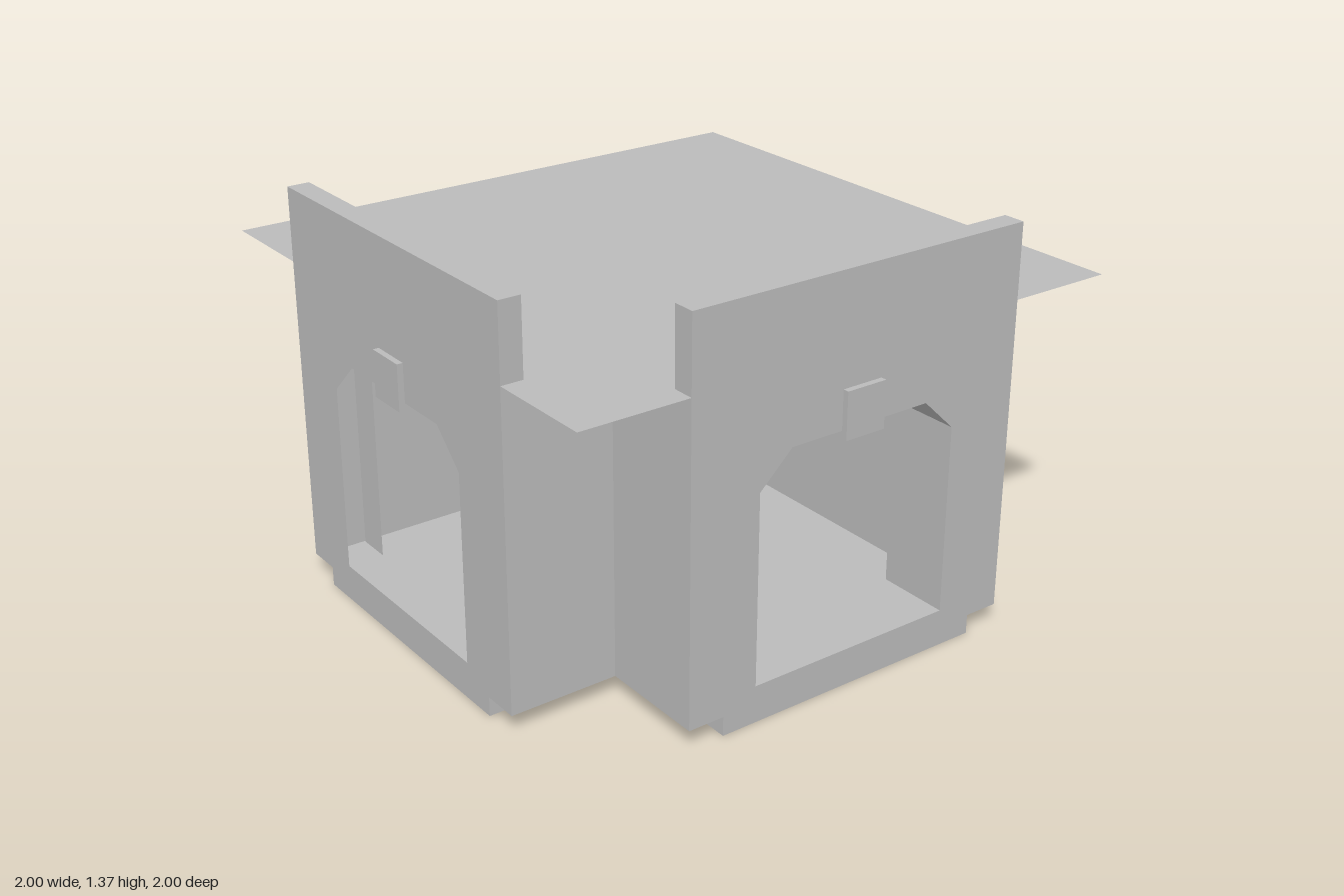
import * as THREE from 'three';

const gray = new THREE.MeshStandardMaterial({ color: 0xbbbbbb });
gray.name = 'plain gray';
const graySheet = new THREE.MeshStandardMaterial({ color: 0xbbbbbb, side: THREE.DoubleSide });
graySheet.name = 'plain gray sheet';

function add(parent, name, geometry, material = gray) {
  const mesh = new THREE.Mesh(geometry, material);
  mesh.name = name;
  parent.add(mesh);
  return mesh;
}

// Box given by its limits on each axis
function block(parent, name, [x0, x1], [y0, y1], [z0, z1]) {
  const mesh = add(parent, name, new THREE.BoxGeometry(x1 - x0, y1 - y0, z1 - z0));
  mesh.position.set((x0 + x1) / 2, (y0 + y1) / 2, (z0 + z1) / 2);
}

const points = (list, s = 1) => list.map(([x, y]) => new THREE.Vector2(x * s, y));

// Doorway outline with chamfered upper corners
const DOOR = [[-0.365, 0.125], [0.38, 0.125], [0.38, 0.76], [0.265, 0.87], [-0.25, 0.87], [-0.365, 0.76]];

// Upright panel pierced by the doorway, from z0 to z1
function doorPanel(parent, name, outline, z0, z1, s) {
  const shape = new THREE.Shape(points(outline, s));
  shape.holes.push(new THREE.Path(points(DOOR, s)));
  const geometry = new THREE.ExtrudeGeometry(shape, { depth: z1 - z0, bevelEnabled: false });
  add(parent, name, geometry).position.z = z0;
}

// Entrance wall with parapet, inner door frame and keystone; s mirrors it in x
function entranceWing(name, s) {
  const wing = new THREE.Group();
  wing.name = name;
  const span = (a, b) => (s > 0 ? [a, b] : [-b, -a]);
  doorPanel(wing, 'entranceWall', [[-0.61, 0.065], [0.625, 0.065], [0.625, 1.115], [-0.61, 1.115]], 0.855, 0.98, s);
  doorPanel(wing, 'doorFrame', [[-0.485, 0.07], [0.5, 0.07], [0.5, 0.99], [-0.485, 0.99]], 0.73, 0.855, s);
  block(wing, 'parapet', span(-0.61, 0.625), [1.115, 1.365], [0.905, 0.98]);
  block(wing, 'keystone', span(-0.065, 0.08), [0.845, 1.0], [0.98, 1.0]);
  return wing;
}

// Square plate with one corner cut out, lying flat between two heights
function cornerPlate(parent, name, far, notch, y0, y1) {
  const shape = new THREE.Shape(points([
    [-0.98, -notch], [-notch, -notch], [-notch, -0.98], [far, -0.98], [far, far], [-0.98, far],
  ]));
  const geometry = new THREE.ExtrudeGeometry(shape, { depth: y1 - y0, bevelEnabled: false });
  geometry.rotateX(-Math.PI / 2);
  add(parent, name, geometry).position.y = y0;
}

export function createModel() {
  const model = new THREE.Group();
  model.name = 'cornerBuilding';

  // Recessed plinth and floor
  cornerPlate(model, 'plinth', 0.505, 0.485, 0, 0.065);
  cornerPlate(model, 'floor', 0.625, 0.61, 0.065, 0.125);

  // Two mirrored entrances meeting at the cut corner
  model.add(entranceWing('frontEntrance', 1));
  const side = entranceWing('sideEntrance', -1);
  side.rotation.y = -Math.PI / 2;
  model.add(side);

  // Plain walls
  const wallY = [0.065, 1.115];
  block(model, 'backWall', [-0.98, 0.625], wallY, [-0.625, -0.505]);
  block(model, 'sideWall', [0.505, 0.625], wallY, [-0.625, 0.98]);
  block(model, 'notchWallFront', [-0.98, -0.485], wallY, [0.485, 0.61]);
  block(model, 'notchWallSide', [-0.61, -0.485], wallY, [0.485, 0.98]);

  // Fittings along the inside of the back wall
  [
    ['locker', -0.365, -0.25, 0.26, 0.9, 0.05],
    ['lockerBase', -0.365, -0.255, 0.125, 0.26, 0.06],
    ['pillar', -0.195, -0.105, 0.125, 1.1, 0.05],
    ['lowStep', -0.105, 0.21, 0.125, 0.195, 0.06],
    ['wallBox', -0.025, 0.115, 0.225, 0.295, 0.04],
    ['cabinet', 0.21, 0.48, 0.125, 0.35, 0.1],
    ['cabinetItem', 0.28, 0.4, 0.35, 0.4, 0.06],
    ['shelf', 0.2, 0.48, 0.745, 0.81, 0.08],
  ].forEach(([name, x0, x1, y0, y1, d]) => block(model, name, [x0, x1], [y0, y1], [-0.505, -0.505 + d]));

  // Thin overhanging roof sheet
  const roof = add(model, 'roofSheet', new THREE.PlaneGeometry(1.98, 1.98).rotateX(-Math.PI / 2), graySheet);
  roof.position.set(0.01, 1.116, -0.01);

  return model;
}
